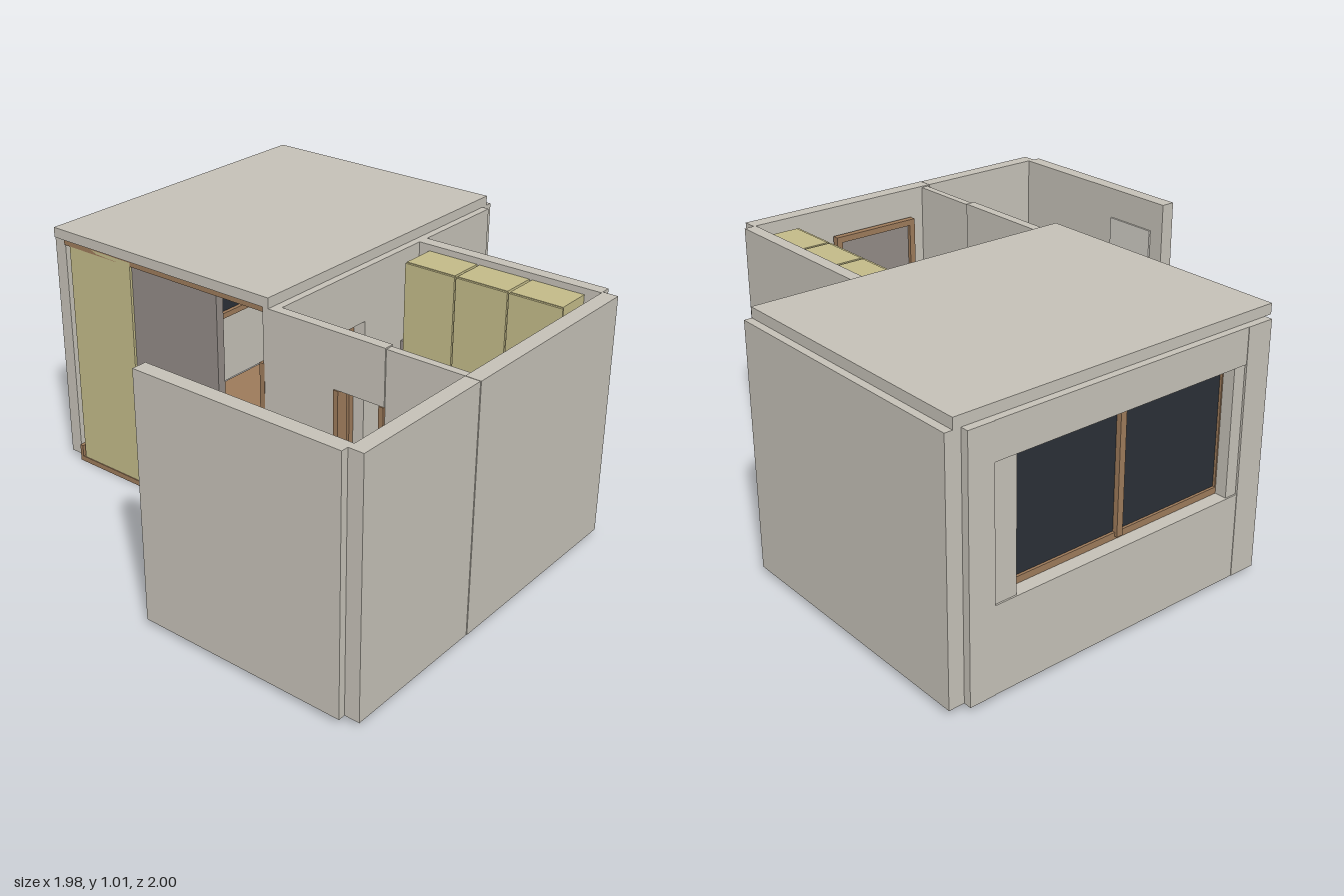
import * as THREE from 'three';
import { RoundedBoxGeometry } from 'three/addons/geometries/RoundedBoxGeometry.js';

const mat = (name, color) => {
  const m = new THREE.MeshStandardMaterial({ color });
  m.name = name;
  return m;
};

export function createModel() {
  const wall = mat('wall plaster', 0xc4c0b6);
  const khaki = mat('khaki cabinet', 0xc2ba88);
  const wood = mat('wood', 0x9c7a5a);
  const stone = mat('dark grey', 0x918a85);
  const black = mat('black glass', 0x2a2f36);
  const white = mat('white fixture', 0xcfccc4);
  const model = new THREE.Group();
  model.name = 'smallApartment';

  const add = (name, geometry, material, x = 0, y = 0, z = 0, parent = model) => {
    const m = new THREE.Mesh(geometry, material);
    m.name = name;
    m.position.set(x, y, z);
    parent.add(m);
    return m;
  };
  // Box given by its extents on each axis; a radius rounds its edges
  const box = (name, material, [x0, x1], [y0, y1], [z0, z1], r = 0) => {
    const s = [x1 - x0, y1 - y0, z1 - z0];
    const g = r ? new RoundedBoxGeometry(...s, 3, r) : new THREE.BoxGeometry(...s);
    return add(name, g, material, (x0 + x1) / 2, (y0 + y1) / 2, (z0 + z1) / 2);
  };
  const ellipsoid = (name, material, x, y, z, rx, ry, rz) => {
    const m = add(name, new THREE.SphereGeometry(1, 32, 20), material, x, y, z);
    m.scale.set(rx, ry, rz);
    return m;
  };
  // Upright frame of four bars; the bars lie in the plane across x or across z
  const frame = (name, material, axis, [d0, d1], [a0, a1], [y0, y1], t) => {
    const bar = (a, y) => axis === 'x'
      ? box(name, material, [d0, d1], y, a)
      : box(name, material, a, y, [d0, d1]);
    bar([a0, a0 + t], [y0, y1]);
    bar([a1 - t, a1], [y0, y1]);
    bar([a0 + t, a1 - t], [y1 - t, y1]);
    bar([a0 + t, a1 - t], [y0, y0 + t]);
  };
  const H = [0.022, 0.975];

  // Floors
  box('roomFloor', wood, [-0.93, 0.12], [0, 0.022], [-0.98, 0.36]);
  box('kitchenFloor', wood, [0.12, 0.93], [0, 0.022], [-0.48, 0.36]);
  box('bathroomFloor', stone, [0.095, 0.93], [0.004, 0.024], [0.36, 0.945]);

  // Roof over the main room
  box('roof', wall, [-0.96, 0.12], [0.975, 1.015], [-0.97, 0.38]);

  // Outer walls
  box('roomBackWall', wall, [-0.96, 0.12], H, [-1, -0.94]);
  box('kitchenBackWall', wall, [0.15, 0.93], H, [-0.515, -0.465]);
  box('kitchenSideWall', wall, [0.93, 0.99], H, [-0.475, 0.383]);
  box('bathroomSideWall', wall, [0.93, 0.988], H, [0.385, 0.972]);
  box('bathroomFrontWall', wall, [0.095, 0.93], H, [0.942, 1]);

  // Wall with the wide window
  box('windowWallEnd', wall, [-0.99, -0.935], H, [-0.94, -0.84]);
  box('windowWallEnd', wall, [-0.99, -0.935], H, [0.24, 0.35]);
  box('windowLintel', wall, [-0.988, -0.935], [0.84, 0.975], [-0.84, 0.24]);
  box('windowSillWall', wall, [-0.988, -0.935], [0.022, 0.35], [-0.84, 0.24]);
  box('windowSidePanel', wall, [-0.982, -0.935], [0.35, 0.84], [-0.84, -0.75]);
  box('windowSidePanel', wall, [-0.982, -0.935], [0.35, 0.84], [0.19, 0.24]);
  frame('windowFrame', wood, 'x', [-0.935, -0.9], [-0.77, 0.21], [0.35, 0.84], 0.025);
  box('windowMullion', wood, [-0.945, -0.905], [0.36, 0.83], [-0.29, -0.265]);
  for (const z of [[-0.745, -0.29], [-0.265, 0.185]])
    box('windowPane', black, [-0.925, -0.918], [0.375, 0.815], z);

  // Wall between room and kitchen, with a doorway
  box('roomSideWall', wall, [0.095, 0.15], H, [-0.94, -0.13]);
  box('roomDoorLintel', wall, [0.095, 0.15], [0.76, 0.975], [-0.13, 0.34]);
  box('roomSideWallEnd', wall, [0.095, 0.15], H, [0.34, 0.38]);
  for (const z of [[-0.13, -0.105], [0.355, 0.381]])
    box('roomDoorJamb', wood, [0.078, 0.1], [0.022, 0.76], z);
  box('roomDoorHead', wood, [0.078, 0.1], [0.74, 0.76], [-0.13, 0.36]);

  // Wall between kitchen and bathroom, with a doorway
  box('bathroomWall', wall, [0.15, 0.41], H, [0.34, 0.38]);
  box('bathroomDoorLintel', wall, [0.41, 0.62], [0.76, 0.975], [0.34, 0.38]);
  box('bathroomWallPanel', wall, [0.62, 0.93], [0.022, 0.97], [0.345, 0.375]);
  for (const x of [[0.41, 0.43], [0.6, 0.62]])
    box('bathroomDoorJamb', wood, x, [0.022, 0.76], [0.335, 0.385]);

  // Sliding front of the main room
  box('frontHead', wood, [-0.93, 0.08], [0.945, 0.974], [0.31, 0.36]);
  box('frontPost', wood, [-0.93, -0.915], [0.022, 0.07], [0.31, 0.36]);
  box('frontPanel', khaki, [-0.9, -0.575], [0.025, 0.96], [0.32, 0.36]);
  box('frontPanel', stone, [-0.575, -0.15], [0.035, 0.974], [0.315, 0.35]);
  box('frontPanelTrack', black, [-0.55, -0.27], [0.025, 0.036], [0.315, 0.345]);

  // Room appliances
  box('refrigerator', white, [-0.14, 0.05], [0.03, 0.51], [-0.1, 0.12], 0.025);
  box('wallUnit', white, [0.005, 0.094], [0.78, 0.895], [-0.55, -0.2], 0.03);
  box('wallPanel', wall, [-0.13, 0.04], [0.53, 0.645], [-0.94, -0.932]);
  box('screen', black, [0.055, 0.09], [0.05, 0.36], [-0.6, -0.25]);

  // Kitchen counter and wall cabinets
  box('counterBase', khaki, [0.2, 0.87], [0.022, 0.34], [-0.465, -0.235]);
  box('counterTop', white, [0.19, 0.875], [0.34, 0.365], [-0.465, -0.215]);
  box('hob', black, [0.68, 0.845], [0.365, 0.373], [-0.43, -0.24]);
  box('sinkBottom', stone, [0.3, 0.49], [0.365, 0.368], [-0.4, -0.27]);
  for (const z of [[-0.42, -0.4], [-0.27, -0.25]])
    box('sinkRim', white, [0.27, 0.515], [0.365, 0.375], z);
  for (const x of [[0.27, 0.29], [0.495, 0.515]])
    box('sinkRim', white, x, [0.365, 0.375], [-0.4, -0.27]);
  for (let i = 0; i < 3; i++) {
    const x = 0.197 + i * 0.226;
    box('wallCabinet', khaki, [x, x + 0.215], [0.56, 0.95], [-0.465, -0.32]);
    box('wallCabinetDoor', khaki, [x, x + 0.22], [0.56, 0.948], [-0.319, -0.31]);
  }
  box('kitchenPipeBox', stone, [0.15, 0.19], [0.022, 0.6], [-0.45, -0.36]);

  // Framed mirror, rack and slippers by the kitchen side wall
  box('mirror', stone, [0.9, 0.907], [0.35, 0.85], [-0.1, 0.25]);
  box('mirrorBack', wood, [0.907, 0.93], [0.35, 0.85], [-0.1, 0.25]);
  frame('mirrorFrame', wood, 'x', [0.885, 0.913], [-0.12, 0.27], [0.33, 0.86], 0.025);
  for (const z of [-0.11, 0.25])
    box('rackSide', stone, [0.68, 0.885], [0.2, 0.212], [z, z + 0.01]);
  box('rackFront', stone, [0.68, 0.69], [0.2, 0.212], [-0.1, 0.25]);
  for (const z of [-0.11, 0.25])
    box('rackLeg', stone, [0.68, 0.69], [0.022, 0.2], [z, z + 0.01]);
  for (const z of [0.073, 0.157]) ellipsoid('slipper', khaki, 0.73, 0.045, z, 0.06, 0.025, 0.03);

  // Bathroom basin on its pedestal
  ellipsoid('basin', white, 0.27, 0.33, 0.59, 0.09, 0.07, 0.125);
  add('basinPedestal', new THREE.CylinderGeometry(0.03, 0.045, 0.27, 20), white, 0.27, 0.155, 0.59);
  box('basinTap', stone, [0.265, 0.275], [0.38, 0.405], [0.585, 0.65]);
  box('bathroomMirror', white, [0.16, 0.39], [0.5, 0.85], [0.934, 0.942]);

  // Toilet
  const bowl = new THREE.LatheGeometry(
    [[0, 0], [0.05, 0], [0.055, 0.06], [0.09, 0.14], [0.09, 0.165], [0.08, 0.178], [0, 0.18]]
      .map(([r, y]) => new THREE.Vector2(r, y)), 32);
  add('toiletBowl', bowl, white, 0.595, 0.022, 0.785).scale.x = 1.4;
  ellipsoid('toiletLid', white, 0.595, 0.203, 0.785, 0.075, 0.012, 0.05);
  box('toiletTank', white, [0.715, 0.787], [0.15, 0.35], [0.7, 0.87], 0.025);
  return model;
}
